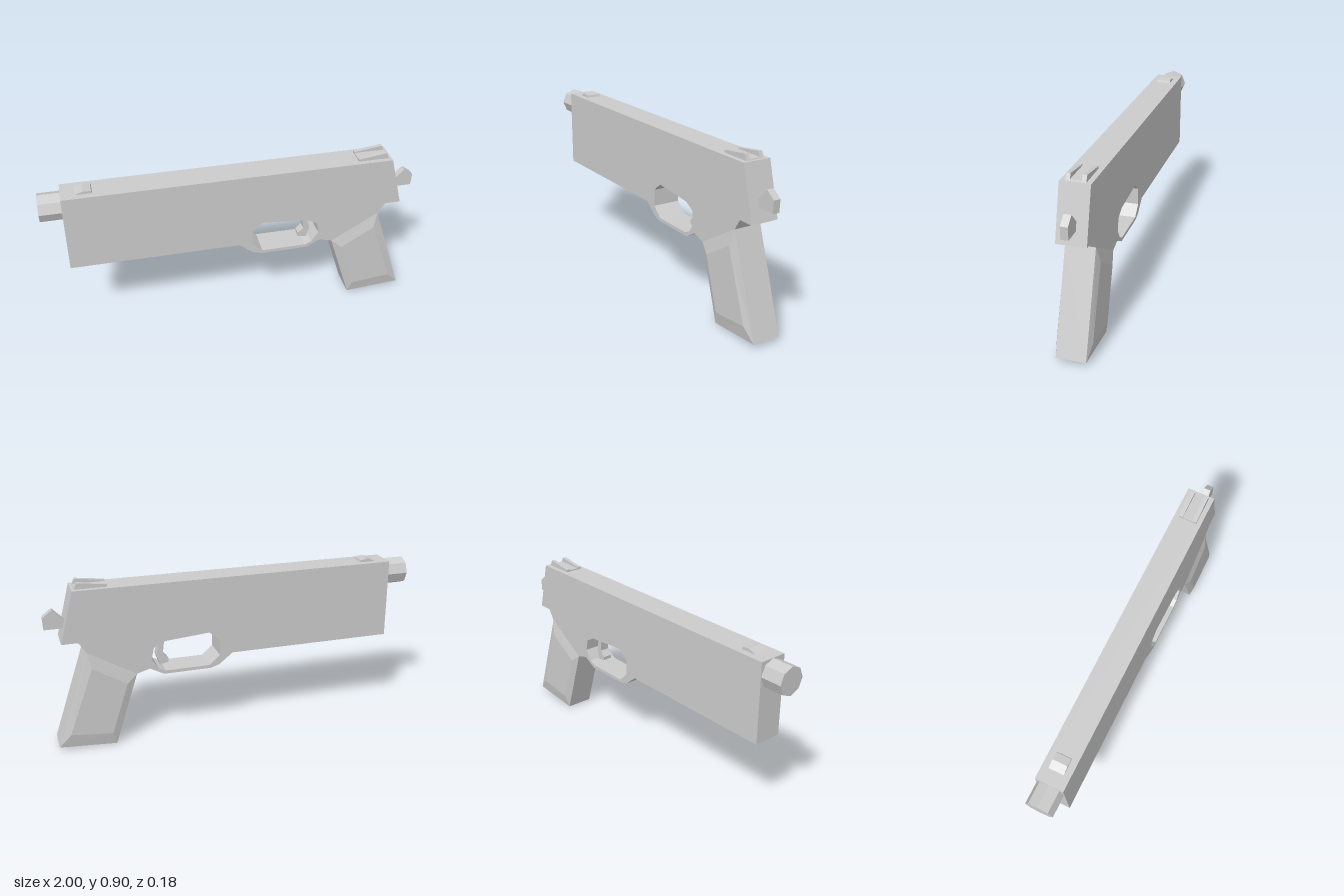
import * as THREE from 'three';

const material = new THREE.MeshStandardMaterial({ color: 0xcccccc, flatShading: true });

function addMesh(group, name, geometry) {
  const mesh = new THREE.Mesh(geometry, material);
  mesh.name = name;
  group.add(mesh);
  return mesh;
}

const toPoints = (list) => list.map(([x, y]) => new THREE.Vector2(x, y));

// Side profile extruded across z, centred on zCentre
function slab(profile, width, zCentre = 0, hole = null) {
  const shape = new THREE.Shape(toPoints(profile));
  if (hole) shape.holes.push(new THREE.Path(toPoints(hole)));
  const geometry = new THREE.ExtrudeGeometry(shape, { depth: width, bevelEnabled: false });
  return geometry.translate(0, 0, zCentre - width / 2);
}

// Closed solid from matching counter-clockwise outlines stacked along z
function loft(sections) {
  const rings = sections.map(({ outline, z }) => outline.map(([x, y]) => [x, y, z]));
  const n = rings[0].length;
  const positions = [];
  const tri = (a, b, c) => positions.push(...a, ...b, ...c);
  for (let k = 0; k < rings.length - 1; k++) {
    for (let j = 0; j < n; j++) {
      const i = (j + 1) % n;
      tri(rings[k][j], rings[k][i], rings[k + 1][i]);
      tri(rings[k][j], rings[k + 1][i], rings[k + 1][j]);
    }
  }
  const first = rings[0], last = rings[rings.length - 1];
  for (let j = 1; j < n - 1; j++) {
    tri(first[0], first[j + 1], first[j]);
    tri(last[0], last[j], last[j + 1]);
  }
  const geometry = new THREE.BufferGeometry();
  geometry.setAttribute('position', new THREE.Float32BufferAttribute(positions, 3));
  geometry.computeVertexNormals();
  return geometry;
}

export function createModel() {
  const group = new THREE.Group();
  group.name = 'pistol';

  // Body with the trigger guard opening
  const bodyProfile = [
    [-0.885, 0.445], [0.02, 0.445], [0.095, 0.385], [0.145, 0.37], [0.4, 0.37],
    [0.475, 0.41], [0.545, 0.39], [0.8, 0.54], [0.837, 0.598], [0.922, 0.598],
    [0.85, 0.873], [-0.885, 0.873],
  ];
  const guardOpening = [
    [0.15, 0.575], [0.395, 0.555], [0.45, 0.525], [0.465, 0.46], [0.428, 0.405],
    [0.39, 0.388], [0.15, 0.388], [0.092, 0.44], [0.092, 0.53],
  ];
  addMesh(group, 'body', slab(bodyProfile, 0.15, 0, guardOpening));

  // Grip with raised, chamfered side panels
  const gripOutline = [[0.545, 0.39], [0.67, 0], [0.973, 0.022], [0.8, 0.54]];
  const panelOutline = [[0.6, 0.345], [0.69, 0.07], [0.91, 0.092], [0.78, 0.455]];
  addMesh(group, 'grip', loft([
    { outline: panelOutline, z: -0.09 },
    { outline: gripOutline, z: -0.075 },
    { outline: gripOutline, z: 0.075 },
    { outline: panelOutline, z: 0.09 },
  ]));

  // Curved trigger
  addMesh(group, 'trigger', slab([
    [0.345, 0.565], [0.385, 0.53], [0.393, 0.465], [0.363, 0.435], [0.365, 0.415],
    [0.41, 0.405], [0.428, 0.46], [0.412, 0.53], [0.395, 0.565],
  ], 0.05));

  // Eight-sided barrel, reaching a little into the body
  const barrel = new THREE.CylinderGeometry(0.074, 0.074, 0.125, 8);
  barrel.rotateZ(Math.PI / 2).translate(-0.9375, 0.798, 0);
  addMesh(group, 'barrel', barrel);

  // Hammer
  addMesh(group, 'hammer', slab([
    [0.885, 0.665], [0.997, 0.665], [1, 0.73], [0.95, 0.767], [0.89, 0.705],
  ], 0.037));

  // Front sight
  addMesh(group, 'frontSight', slab([
    [-0.82, 0.87], [-0.725, 0.87], [-0.73, 0.885], [-0.77, 0.89],
  ], 0.08));

  // Rear sight: two rails on a thin base
  const rail = [[0.67, 0.87], [0.838, 0.87], [0.822, 0.905], [0.67, 0.886]];
  for (const side of [-1, 1]) {
    addMesh(group, side > 0 ? 'rearSightLeft' : 'rearSightRight', slab(rail, 0.021, side * 0.0385));
  }
  addMesh(group, 'rearSightBase', slab([
    [0.67, 0.87], [0.838, 0.87], [0.834, 0.88], [0.67, 0.88],
  ], 0.056));

  return group;
}
